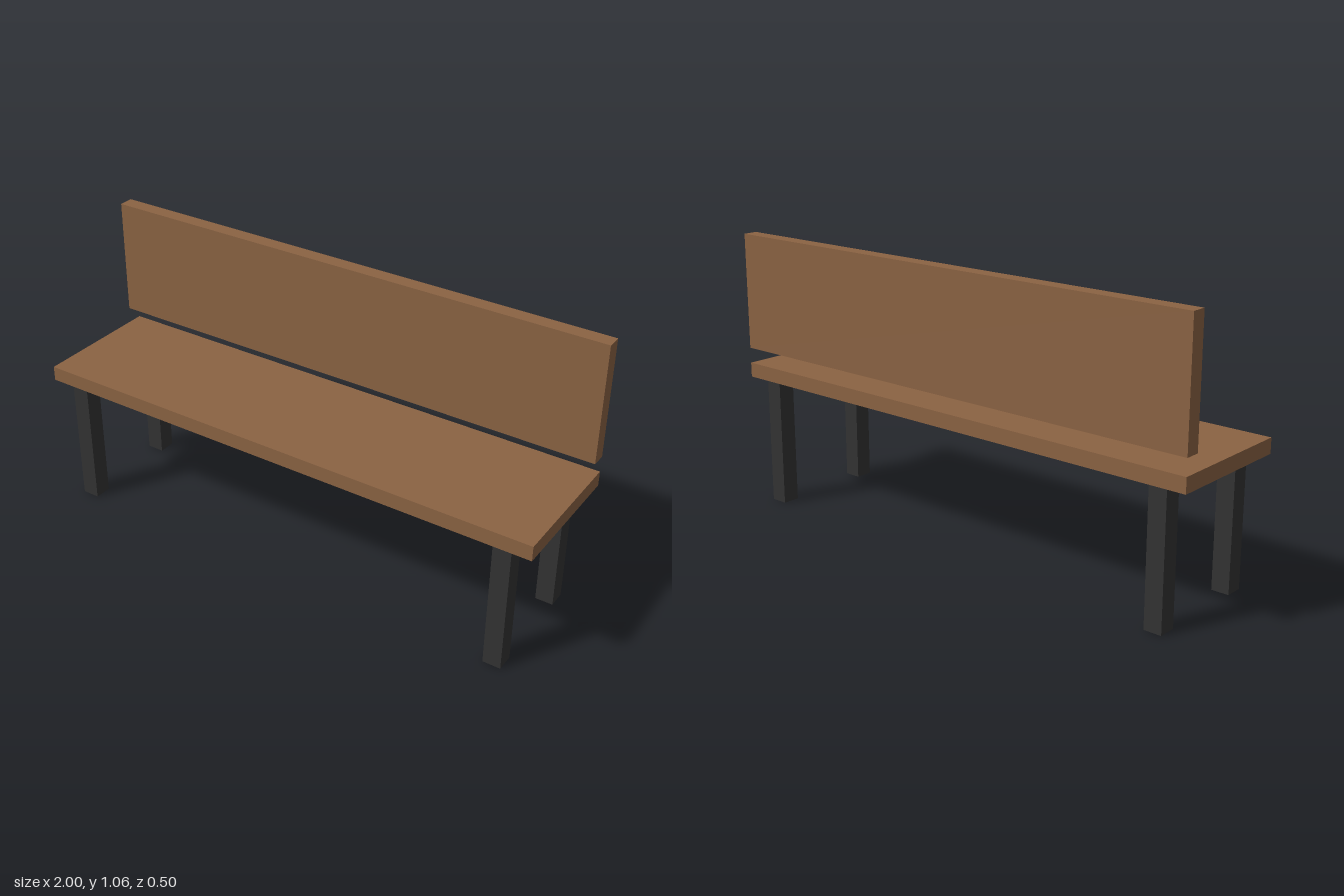
import * as THREE from 'three';

export function createModel() {
  const bench = new THREE.Group();
  bench.name = 'bench';

  const wood = new THREE.MeshStandardMaterial({ color: 0x8b6343 });
  wood.name = 'brown wood';
  const metal = new THREE.MeshStandardMaterial({ color: 0x333333 });
  metal.name = 'dark metal';

  const addBox = (name, material, [w, h, d], [x, y, z]) => {
    const mesh = new THREE.Mesh(new THREE.BoxGeometry(w, h, d), material);
    mesh.name = name;
    mesh.position.set(x, y, z);
    bench.add(mesh);
  };

  const legHeight = 0.495;
  const thickness = 0.056;

  // Seat plank resting on the legs
  addBox('seat', wood, [2, thickness, 0.5], [0, legHeight + thickness / 2, 0]);

  // Backrest board, flush with the rear edge and floating above the seat
  addBox('backrest', wood, [2, 0.445, thickness], [0, 0.8335, -0.25 + thickness / 2]);

  // Four square legs
  for (const [side, x] of [['Left', 0.889], ['Right', -0.889]]) {
    for (const [end, z] of [['front', 0.2], ['back', -0.2]]) {
      addBox(`${end}${side}Leg`, metal, [0.067, legHeight, 0.067], [x, legHeight / 2, z]);
    }
  }

  return bench;
}
